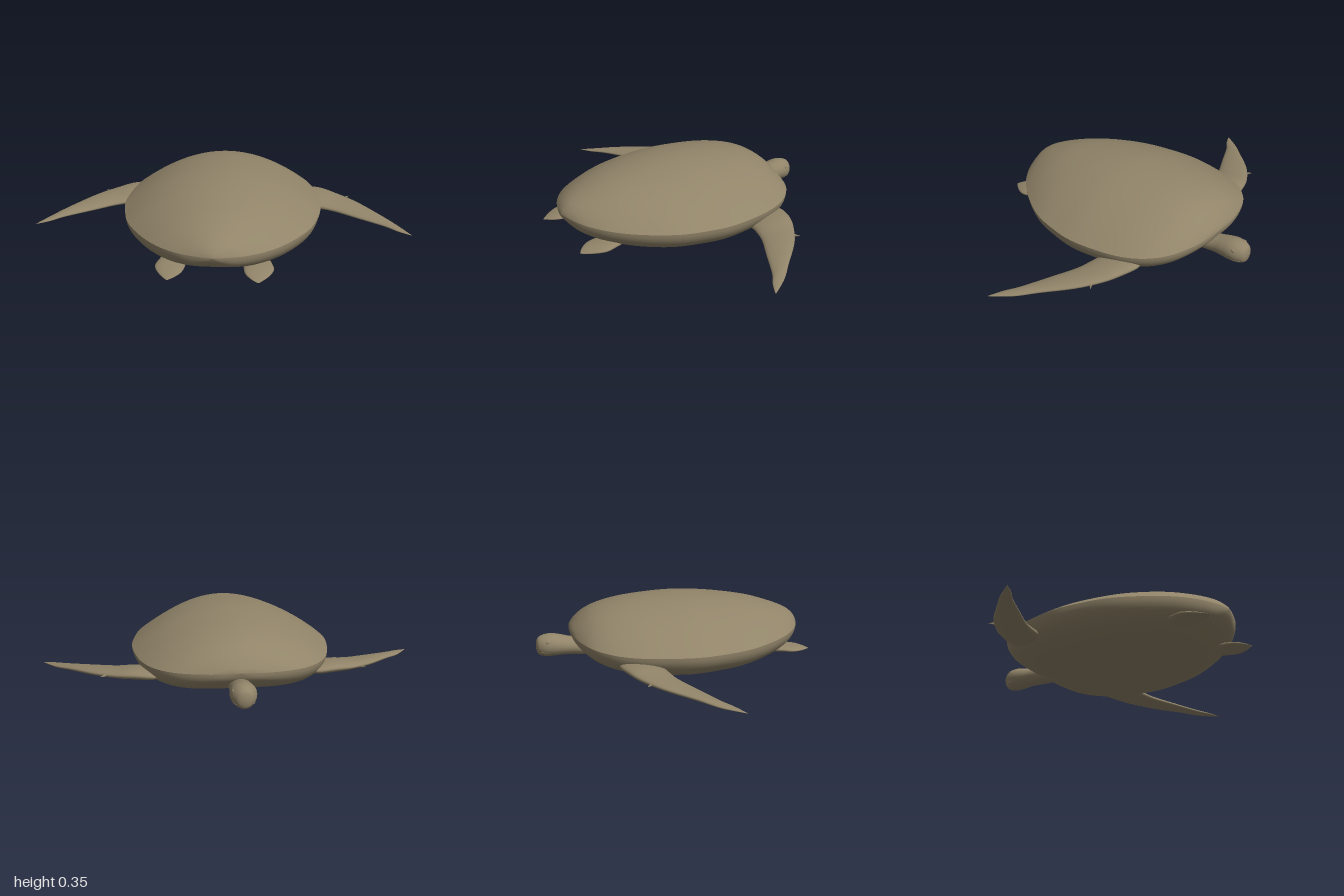
import * as THREE from 'three';
import { mergeVertices } from 'three/addons/utils/BufferGeometryUtils.js';

// Smooth surface through rows of section values; point(values, v) gives [x, y, z] for v in 0..1
function loft(rows, point, nu, nv, flip = false) {
  const cols = rows[0].map((_, c) => new THREE.SplineCurve(rows.map((r, k) => new THREE.Vector2(k, r[c]))));
  const pos = [], idx = [];
  for (let i = 0; i <= nu; i++) {
    const vals = cols.map(c => c.getPoint(i / nu).y);
    for (let j = 0; j <= nv; j++) {
      const p = point(vals, j / nv);
      pos.push(flip ? -p[0] : p[0], p[1], p[2]);
    }
  }
  for (let i = 0; i < nu; i++) for (let j = 0; j < nv; j++) {
    const a = i * (nv + 1) + j, b = a + nv + 1;
    if (flip) idx.push(a, a + 1, b, b, a + 1, b + 1);
    else idx.push(a, b, a + 1, b, b + 1, a + 1);
  }
  let g = new THREE.BufferGeometry();
  g.setAttribute('position', new THREE.Float32BufferAttribute(pos, 3));
  g.setIndex(idx);
  g = mergeVertices(g, 1e-5);
  g.computeVertexNormals();
  return g;
}

// Shell sections: z, half width, top y, rim y, bottom y
const SHELL = [
  [-0.535, 0, 0.18, 0.18, 0.18],
  [-0.522, 0.14, 0.205, 0.175, 0.14],
  [-0.48, 0.28, 0.247, 0.17, 0.1],
  [-0.42, 0.37, 0.287, 0.165, 0.062],
  [-0.33, 0.44, 0.317, 0.16, 0.032],
  [-0.2, 0.49, 0.338, 0.157, 0.013],
  [0, 0.52, 0.35, 0.155, 0],
  [0.15, 0.505, 0.345, 0.155, 0.004],
  [0.3, 0.465, 0.328, 0.157, 0.014],
  [0.45, 0.38, 0.302, 0.16, 0.037],
  [0.57, 0.28, 0.265, 0.165, 0.07],
  [0.65, 0.17, 0.232, 0.17, 0.105],
  [0.69, 0.07, 0.2, 0.175, 0.145],
  [0.705, 0, 0.176, 0.176, 0.176],
];
const carapace = ([z, w, top, rim], v) => {
  const u = 2 * v - 1;
  return [w * u, rim + (top - rim) * (1 - u * u), z];
};
const plastron = ([z, w, , rim, bottom], v) => {
  const u = Math.cos(Math.PI * v);
  return [w * u, rim - (rim - bottom) * Math.sqrt(Math.max(0, 1 - u ** 4)), z];
};

// Neck and head sections: z, half width, centre y, half height
const HEAD = [
  [-0.33, 0, 0.085, 0],
  [-0.36, 0.04, 0.085, 0.03],
  [-0.43, 0.056, 0.09, 0.042],
  [-0.53, 0.056, 0.103, 0.047],
  [-0.58, 0.062, 0.11, 0.053],
  [-0.63, 0.066, 0.114, 0.059],
  [-0.67, 0.059, 0.113, 0.057],
  [-0.7, 0.041, 0.112, 0.046],
  [-0.711, 0.022, 0.112, 0.027],
  [-0.715, 0, 0.112, 0],
];
const headRing = ([z, w, y, h], v) => {
  const a = 2 * Math.PI * v;
  return [w * Math.cos(a), y + h * Math.sin(a), z];
};

// Flipper sections: first edge x y z, second edge x y z, half thickness
const FRONT = [
  [0.38, 0.085, -0.2, 0.36, 0.1, -0.3, 0],
  [0.42, 0.085, -0.14, 0.41, 0.105, -0.352, 0.027],
  [0.51, 0.083, -0.125, 0.52, 0.107, -0.333, 0.03],
  [0.6, 0.076, -0.1, 0.61, 0.097, -0.29, 0.024],
  [0.72, 0.066, -0.04, 0.72, 0.085, -0.21, 0.019],
  [0.86, 0.055, 0.03, 0.84, 0.068, -0.085, 0.013],
  [0.93, 0.048, 0.078, 0.925, 0.052, 0.005, 0.008],
  [0.998, 0.043, 0.112, 1, 0.043, 0.11, 0],
];
const REAR = [
  [0.17, 0.08, 0.44, 0.21, 0.08, 0.44, 0],
  [0.145, 0.078, 0.48, 0.25, 0.078, 0.47, 0.017],
  [0.14, 0.075, 0.56, 0.28, 0.075, 0.55, 0.018],
  [0.15, 0.07, 0.64, 0.288, 0.07, 0.6, 0.014],
  [0.18, 0.064, 0.685, 0.265, 0.064, 0.655, 0.008],
  [0.215, 0.058, 0.712, 0.222, 0.058, 0.71, 0],
];
const flipperRing = ([ax, ay, az, bx, by, bz, t], v) => {
  const k = (1 + Math.cos(2 * Math.PI * v)) / 2;
  return [bx + (ax - bx) * k, by + (ay - by) * k + t * Math.sin(2 * Math.PI * v), bz + (az - bz) * k];
};

export function createModel() {
  const model = new THREE.Group();
  model.name = 'seaTurtle';
  const skin = new THREE.MeshStandardMaterial({ color: 0x918469 });
  skin.name = 'oliveBrown';
  const add = (name, geometry) => {
    const mesh = new THREE.Mesh(geometry, skin);
    mesh.name = name;
    model.add(mesh);
    return mesh;
  };

  // Body: domed back and flatter belly meeting at a sharp rim
  add('upperShell', loft(SHELL, carapace, 64, 32));
  add('belly', loft(SHELL, plastron, 64, 40));
  add('neckAndHead', loft(HEAD, headRing, 40, 28));

  // Mouth line wrapped around the snout
  const mouth = [[-0.055, -0.64], [-0.048, -0.675], [-0.03, -0.698], [0, -0.708], [0.03, -0.698], [0.048, -0.675], [0.055, -0.64]]
    .map(([x, z]) => new THREE.Vector3(x, 0.085, z));
  add('mouth', new THREE.TubeGeometry(new THREE.CatmullRomCurve3(mouth), 24, 0.003, 6));

  for (const side of [1, -1]) {
    const label = side > 0 ? 'left' : 'right';
    add(label + 'FrontFlipper', loft(FRONT, flipperRing, 40, 24, side < 0));
    add(label + 'RearFlipper', loft(REAR, flipperRing, 24, 20, side < 0));

    // Small claw on the leading edge
    const claw = add(label + 'Claw', new THREE.ConeGeometry(0.009, 0.04, 8));
    claw.position.set(side * 0.67, 0.09, -0.262);
    claw.quaternion.setFromUnitVectors(new THREE.Vector3(0, 1, 0), new THREE.Vector3(side * 0.75, 0, -0.66).normalize());

    // Low eye bulge
    const eye = add(label + 'Eye', new THREE.SphereGeometry(0.014, 16, 12));
    eye.scale.set(0.5, 0.8, 1);
    eye.position.set(side * 0.052, 0.138, -0.655);
  }
  return model;
}
